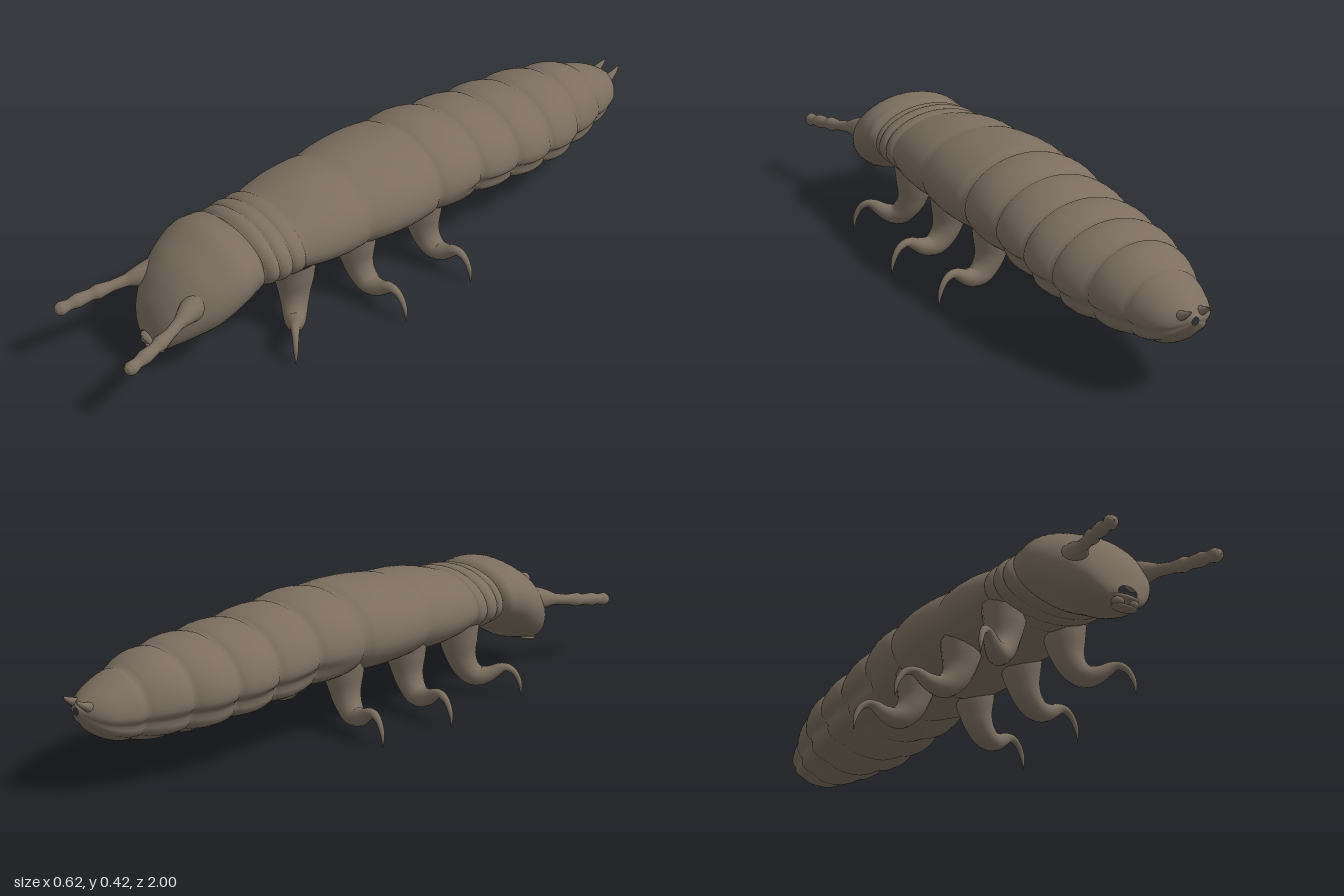
import * as THREE from 'three';

const skin = new THREE.MeshStandardMaterial({ color: 0x7c6f60 });
skin.name = 'brown skin';

// Closed-ring surface: point(u, angle) gives each vertex
function loft(rings, sides, point) {
  const pos = [], idx = [];
  for (let i = 0; i <= rings; i++) {
    for (let j = 0; j < sides; j++) pos.push(...point(i / rings, (j / sides) * Math.PI * 2));
  }
  for (let i = 0; i < rings; i++) {
    for (let j = 0; j < sides; j++) {
      const a = i * sides + j, b = i * sides + (j + 1) % sides;
      idx.push(a, a + sides, b, b, a + sides, b + sides);
    }
  }
  const g = new THREE.BufferGeometry();
  g.setAttribute('position', new THREE.Float32BufferAttribute(pos, 3));
  g.setIndex(idx);
  g.computeVertexNormals();
  return g;
}

// Tapered tube through [x, y, z, radius] stations
function limb(stations, rings = 28, sides = 14) {
  const curve = new THREE.CatmullRomCurve3(stations.map(s => new THREE.Vector3(s[0], s[1], s[2])));
  const frames = curve.computeFrenetFrames(rings);
  const last = stations.length - 1;
  return loft(rings, sides, (u, a) => {
    const k = Math.min(Math.floor(u * last), last - 1);
    const r = THREE.MathUtils.lerp(stations[k][3], stations[k + 1][3], u * last - k);
    const i = Math.round(u * rings);
    return curve.getPoint(u)
      .addScaledVector(frames.normals[i], r * Math.cos(a))
      .addScaledVector(frames.binormals[i], -r * Math.sin(a)).toArray();
  });
}

// Smooth lookup of [half width, top, bottom] along z (rows in rising z)
function profile(rows) {
  const spline = new THREE.CubicInterpolant(rows.map(r => r[0]), rows.flatMap(r => r.slice(1)), 3);
  return z => Array.from(spline.evaluate(z));
}

const bodyProfile = profile([
  [-0.98, 0.012, 0.255, 0.23], [-0.95, 0.065, 0.28, 0.185], [-0.88, 0.108, 0.318, 0.14],
  [-0.77, 0.147, 0.36, 0.118], [-0.63, 0.186, 0.378, 0.112], [-0.49, 0.2, 0.388, 0.12],
  [-0.35, 0.2, 0.402, 0.132], [-0.18, 0.205, 0.42, 0.15], [0, 0.211, 0.42, 0.155],
  [0.28, 0.192, 0.4, 0.165], [0.4, 0.18, 0.378, 0.18], [0.5, 0.17, 0.37, 0.185], [0.56, 0.12, 0.34, 0.21],
]);

const headProfile = profile([
  [0.49, 0.05, 0.3, 0.24], [0.52, 0.158, 0.362, 0.187], [0.555, 0.174, 0.374, 0.162],
  [0.6, 0.18, 0.376, 0.138], [0.66, 0.17, 0.35, 0.105], [0.72, 0.143, 0.31, 0.088],
  [0.77, 0.108, 0.25, 0.078], [0.8, 0.072, 0.19, 0.074], [0.816, 0.03, 0.13, 0.09],
]);

const grooves = [0.56, 0.515, 0.475, 0.43, 0.385, 0.16, -0.1, -0.27, -0.42, -0.56, -0.7, -0.83, -0.98];
const stepsPerSegment = 14;
const dent = (a, at, width) => Math.exp(-(((a - at) / width) ** 2));

// Segmented trunk, with rolled folds along the flanks of the abdomen
function bodyGeometry() {
  const count = grooves.length - 1;
  return loft(count * stepsPerSegment, 56, (u, a) => {
    const k = Math.min(Math.floor(u * count + 1e-6), count - 1);
    const t = Math.min(Math.max(u * count - k, 0), 1);
    const z = THREE.MathUtils.lerp(grooves[k], grooves[k + 1], t);
    const [w, top, bottom] = bodyProfile(z);
    const bulge = Math.pow(Math.max(Math.sin(Math.PI * t), 0), 0.6);
    const depth = z > 0.38 ? 0.06 : z > -0.1 ? 0.065 : 0.1;
    const abdomen = THREE.MathUtils.smoothstep(-z, 0.1, 0.35);
    const flank = Math.asin(Math.sin(a));
    const fold = abdomen * (0.1 * dent(flank, -0.3, 0.17) + 0.07 * dent(flank, -1.0, 0.2));
    const s = (1 - depth * (1 - bulge)) * (1 - fold);
    const mid = bottom + (top - bottom) * 0.45;
    const h = Math.sin(a) > 0 ? top - mid : mid - bottom;
    return [w * s * Math.cos(a), mid + h * s * Math.sin(a), z];
  });
}

// Wedge-faced head, narrower towards the underside
function headGeometry() {
  return loft(40, 48, (u, a) => {
    const z = 0.816 - 0.326 * Math.pow(u, 1.7);
    const [w, top, bottom] = headProfile(z);
    const mid = bottom + (top - bottom) * 0.52;
    const c = Math.cos(a), s = Math.sin(a);
    const x = s < 0 ? Math.sign(c) * Math.pow(Math.abs(c), 1.15) : c;
    return [w * x, mid + (s > 0 ? top - mid : mid - bottom) * s, z];
  });
}

// Leg stations as [outward, y, radius] from the hip
const legStations = [
  [0, 0.23, 0.066], [0.002, 0.17, 0.058], [0.01, 0.125, 0.047], [0.028, 0.088, 0.04],
  [0.06, 0.062, 0.034], [0.105, 0.07, 0.024], [0.147, 0.093, 0.014], [0.178, 0.082, 0.01],
  [0.2, 0.045, 0.007], [0.205, 0.003, 0.001],
];

export function createModel() {
  const model = new THREE.Group();
  model.name = 'larva';
  const add = (name, geometry) => {
    const m = new THREE.Mesh(geometry, skin);
    m.name = name;
    model.add(m);
    return m;
  };

  add('body', bodyGeometry());
  add('head', headGeometry());

  // Upper lip and mouth
  const lip = add('upperLip', new THREE.SphereGeometry(1, 20, 12));
  lip.scale.set(0.045, 0.01, 0.018);
  lip.position.set(0, 0.099, 0.803);
  const chin = add('lowerLip', new THREE.SphereGeometry(1, 20, 12));
  chin.scale.set(0.042, 0.008, 0.02);
  chin.position.set(0, 0.074, 0.795);

  for (const side of [1, -1]) {
    const label = side > 0 ? 'left' : 'right';

    // Legs: front pair swings forward
    for (const [name, z, turn, reach] of [['Front', 0.375, 0.66, 0.96], ['Middle', 0.15, -0.08, 1.02], ['Back', -0.105, -0.14, 0.95]]) {
      add(`${label}${name}Leg`, limb(legStations.map(([out, y, r]) => [
        side * (0.1 + out * reach * Math.cos(turn)), y, z + out * reach * Math.sin(turn), r,
      ]), 36));
    }

    // Jointed antennae
    add(`${label}Antenna`, limb([
      [0.095, 0.235, 0.70, 0.045], [0.113, 0.23, 0.755, 0.03], [0.125, 0.224, 0.79, 0.018],
      [0.138, 0.217, 0.83, 0.016], [0.148, 0.211, 0.87, 0.022], [0.153, 0.208, 0.89, 0.017],
      [0.16, 0.203, 0.93, 0.021], [0.164, 0.199, 0.955, 0.016], [0.168, 0.195, 0.98, 0.021],
      [0.17, 0.193, 0.994, 0.014], [0.171, 0.192, 1.0, 0.001],
    ].map(([x, ...rest]) => [side * x, ...rest]), 40));

    // Mandibles
    const jaw = add(`${label}Mandible`, new THREE.SphereGeometry(1, 16, 10));
    jaw.scale.set(0.019, 0.012, 0.016);
    jaw.position.set(side * 0.024, 0.086, 0.802);

    // Tail horns
    add(`${label}TailHorn`, limb([
      [side * 0.028, 0.25, -0.945, 0.018], [side * 0.03, 0.262, -0.97, 0.011],
      [side * 0.029, 0.274, -0.99, 0.006], [side * 0.027, 0.284, -1.0, 0.001],
    ], 12, 10));
  }
  return model;
}
